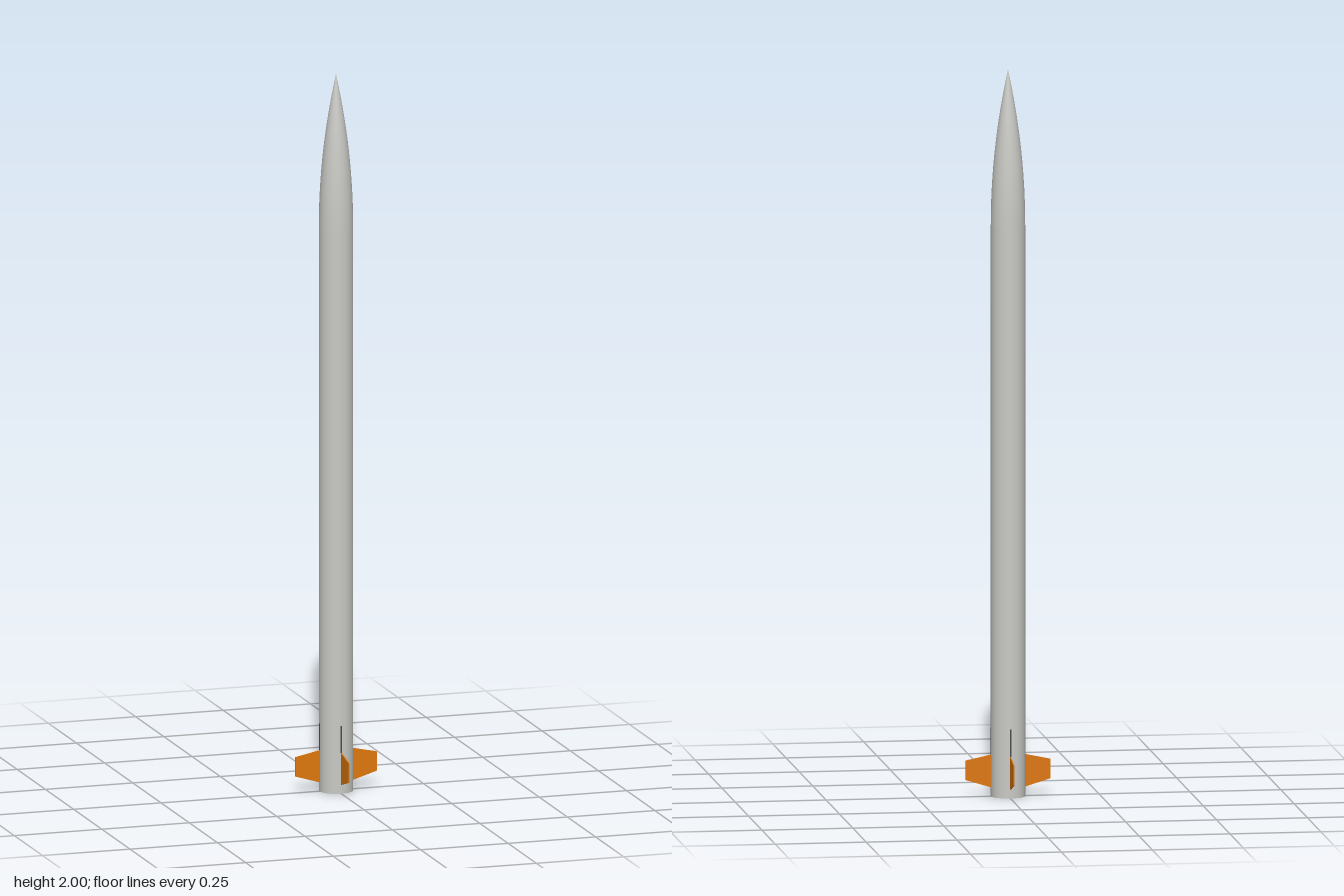
import * as THREE from 'three';

const R = 0.047, NOSE_BASE = 1.57, SIDES = 32;

const paint = (name, color, side = THREE.FrontSide) => {
  const m = new THREE.MeshStandardMaterial({ color, side });
  m.name = name;
  return m;
};

export function createModel() {
  const model = new THREE.Group();
  model.name = 'rocket';
  const grey = paint('light grey', 0xc9c9c5);
  const orange = paint('orange', 0xde780c);
  const dark = paint('dark grey', 0x4a4a4a, THREE.DoubleSide);

  const add = (name, geometry, material, parent = model) => {
    const mesh = new THREE.Mesh(geometry, material);
    mesh.name = name;
    parent.add(mesh);
    return mesh;
  };
  const lathe = (pts) =>
    new THREE.LatheGeometry(pts.map(([r, y]) => new THREE.Vector2(r, y)), SIDES);

  // Long straight tube, open at the tail
  add('body', lathe([[R, 0], [R, NOSE_BASE]]), grey);

  // Pointed ogive nose
  const nose = [];
  for (let i = 0; i <= 16; i++) {
    const t = i / 16;
    nose.push([R * (1 - t * t), NOSE_BASE + t * (2 - NOSE_BASE)]);
  }
  add('noseCone', lathe(nose), grey);

  // Tail: flat rim, recess and exhaust nozzle
  add('tailRim', lathe([[0.036, 0], [R, 0]]), grey);
  add('tailRecess', lathe([[0, 0.03], [0.036, 0.03], [0.036, 0]]), dark);
  add('nozzle', lathe([[0.014, 0.03], [0.017, 0.015], [0.024, 0.003],
    [0.027, 0.003], [0.02, 0.016], [0.017, 0.03]]),
  paint('nozzle grey', 0xa0a09c, THREE.DoubleSide));

  // Four thin tapered fins, each with a narrow slot above its root
  const outline = new THREE.Shape([[R - 0.003, 0.024], [0.116, 0.046], [0.116, 0.1], [R - 0.003, 0.115]]
    .map(([x, y]) => new THREE.Vector2(x, y)));
  const finShape = new THREE.ExtrudeGeometry(outline, { depth: 0.003, bevelEnabled: false });
  finShape.translate(0, 0, -0.0015);
  const slot = new THREE.BoxGeometry(0.002, 0.075, 0.004);
  slot.translate(R - 0.0005, 0.152, 0);
  for (let i = 0; i < 4; i++) {
    const fin = new THREE.Group();
    fin.name = 'finAssembly';
    fin.rotation.y = i * Math.PI / 2;
    add('fin', finShape, orange, fin);
    add('finSlot', slot, dark, fin);
    model.add(fin);
  }
  return model;
}
